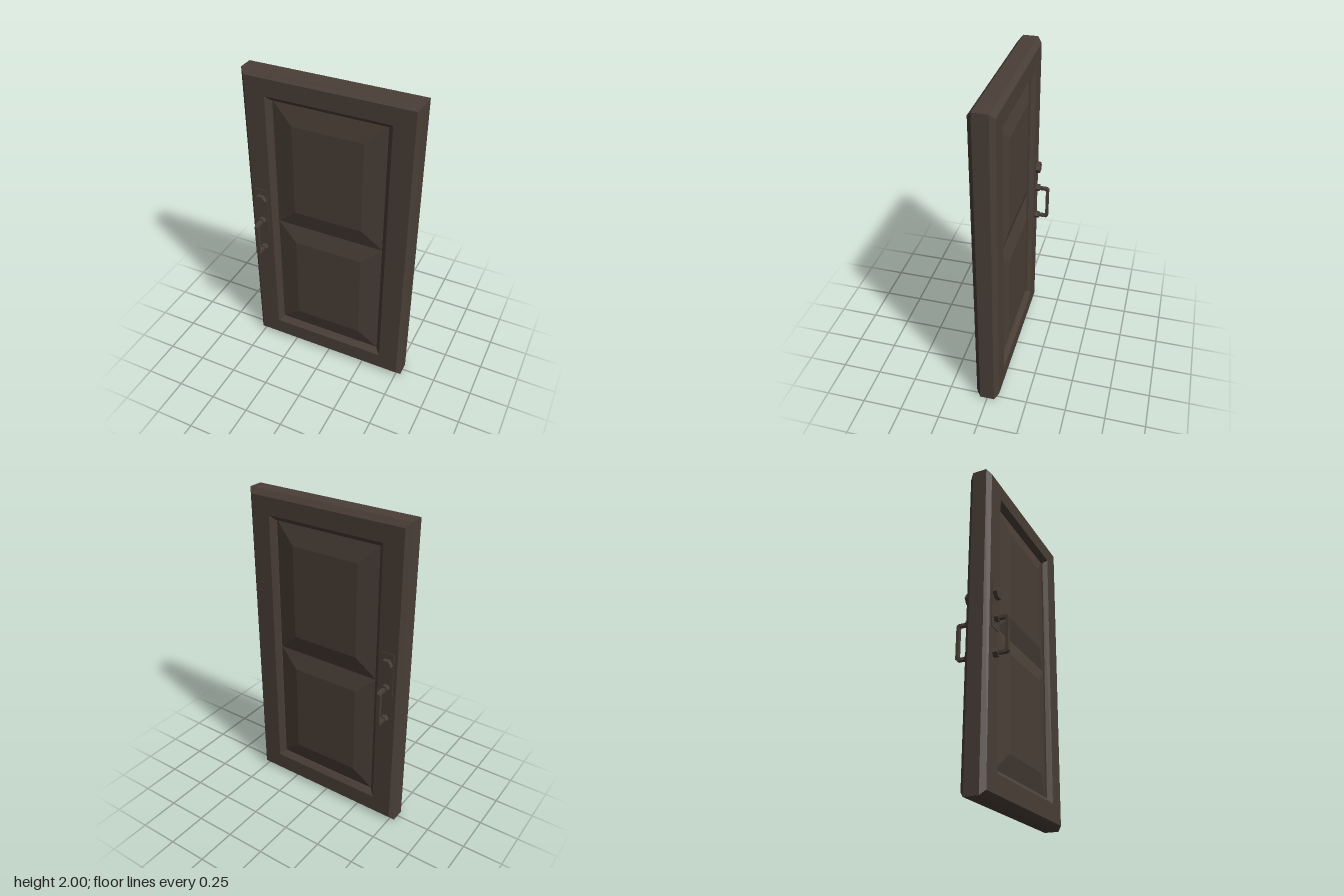
import * as THREE from 'three';

const material = new THREE.MeshStandardMaterial({ color: 0x4a3f37, flatShading: true });

// Corners of a rectangle, counter-clockwise seen from +z
const rect = (x, y0, y1, z) => [[-x, y0, z], [x, y0, z], [x, y1, z], [-x, y1, z]];

// Joins nested rectangles into a stepped, mitred surface; optionally caps the last one
function rings(list, cap) {
  const pos = [];
  const quad = (a, b, c, d) => pos.push(...a, ...b, ...c, ...a, ...c, ...d);
  for (let i = 0; i < list.length - 1; i++) {
    const outer = list[i], inner = list[i + 1];
    for (let k = 0; k < 4; k++) {
      const n = (k + 1) % 4;
      quad(outer[k], outer[n], inner[n], inner[k]);
    }
  }
  if (cap) quad(...list[list.length - 1]);
  const geometry = new THREE.BufferGeometry();
  geometry.setAttribute('position', new THREE.Float32BufferAttribute(pos, 3));
  geometry.computeVertexNormals();
  return geometry;
}

function add(parent, name, geometry, x = 0, y = 0, z = 0) {
  const mesh = new THREE.Mesh(geometry, material);
  mesh.name = name;
  mesh.position.set(x, y, z);
  parent.add(mesh);
  return mesh;
}

// Hexagonal boss standing out along z, with corners to the left and right
function hex(radius, depth) {
  return new THREE.CylinderGeometry(radius, radius, depth, 6).rotateY(Math.PI / 2).rotateX(Math.PI / 2);
}

// Square pull bar with chamfered corners, drawn as a (z, y) outline
function pullGeometry() {
  const width = 0.024, h = 0.115, z0 = 0.07, z1 = 0.163, t = 0.018, c = 0.012;
  const s = new THREE.Shape();
  s.moveTo(z0, -h);
  s.lineTo(z1 - c, -h);
  s.lineTo(z1, -h + c);
  s.lineTo(z1, h - c);
  s.lineTo(z1 - c, h);
  s.lineTo(z0, h);
  s.lineTo(z0, h - t);
  s.lineTo(z1 - t - 0.004, h - t);
  s.lineTo(z1 - t, h - t - 0.004);
  s.lineTo(z1 - t, -h + t + 0.004);
  s.lineTo(z1 - t - 0.004, -h + t);
  s.lineTo(z0, -h + t);
  s.closePath();
  return new THREE.ExtrudeGeometry(s, { depth: width, bevelEnabled: false })
    .translate(0, 0, -width / 2).rotateY(-Math.PI / 2);
}

// One face of the door; hx is the lock position along the face
function doorFace(name, hx) {
  const face = new THREE.Group();
  face.name = name;

  // Mitred frame with bevelled outer edge and sloped inner lip
  add(face, 'frame', rings([
    rect(0.53, 0, 2, 0.045),
    rect(0.505, 0.03, 1.97, 0.072),
    rect(0.38, 0.14, 1.865, 0.072),
    rect(0.35, 0.17, 1.835, 0.046),
    rect(0.35, 0.17, 1.835, 0.036),
  ], false));

  // Raised panels
  add(face, 'upperPanel', rings([rect(0.35, 1.0, 1.835, 0.036), rect(0.22, 1.12, 1.71, 0.064)], true));
  add(face, 'lowerPanel', rings([rect(0.35, 0.17, 1.0, 0.036), rect(0.22, 0.29, 0.885, 0.064)], true));

  // Lock plate, lock and pull handle
  add(face, 'lockPlate', new THREE.BoxGeometry(0.08, 0.29, 0.01), hx, 1.085, 0.072);
  add(face, 'lock', hex(0.037, 0.04), hx, 1.16, 0.082);
  for (const y of [0.79, 1.005]) add(face, 'handleMount', hex(0.023, 0.034), hx, y, 0.085);
  add(face, 'pullHandle', pullGeometry(), hx, 0.897, 0);
  return face;
}

export function createModel() {
  const door = new THREE.Group();
  door.name = 'door';

  // Outer edge between the two faces
  add(door, 'edge', rings([rect(0.53, 0, 2, -0.045), rect(0.53, 0, 2, 0.045)], false));

  door.add(doorFace('frontFace', -0.443));
  const back = doorFace('backFace', 0.443);
  back.rotation.y = Math.PI;
  door.add(back);
  return door;
}
